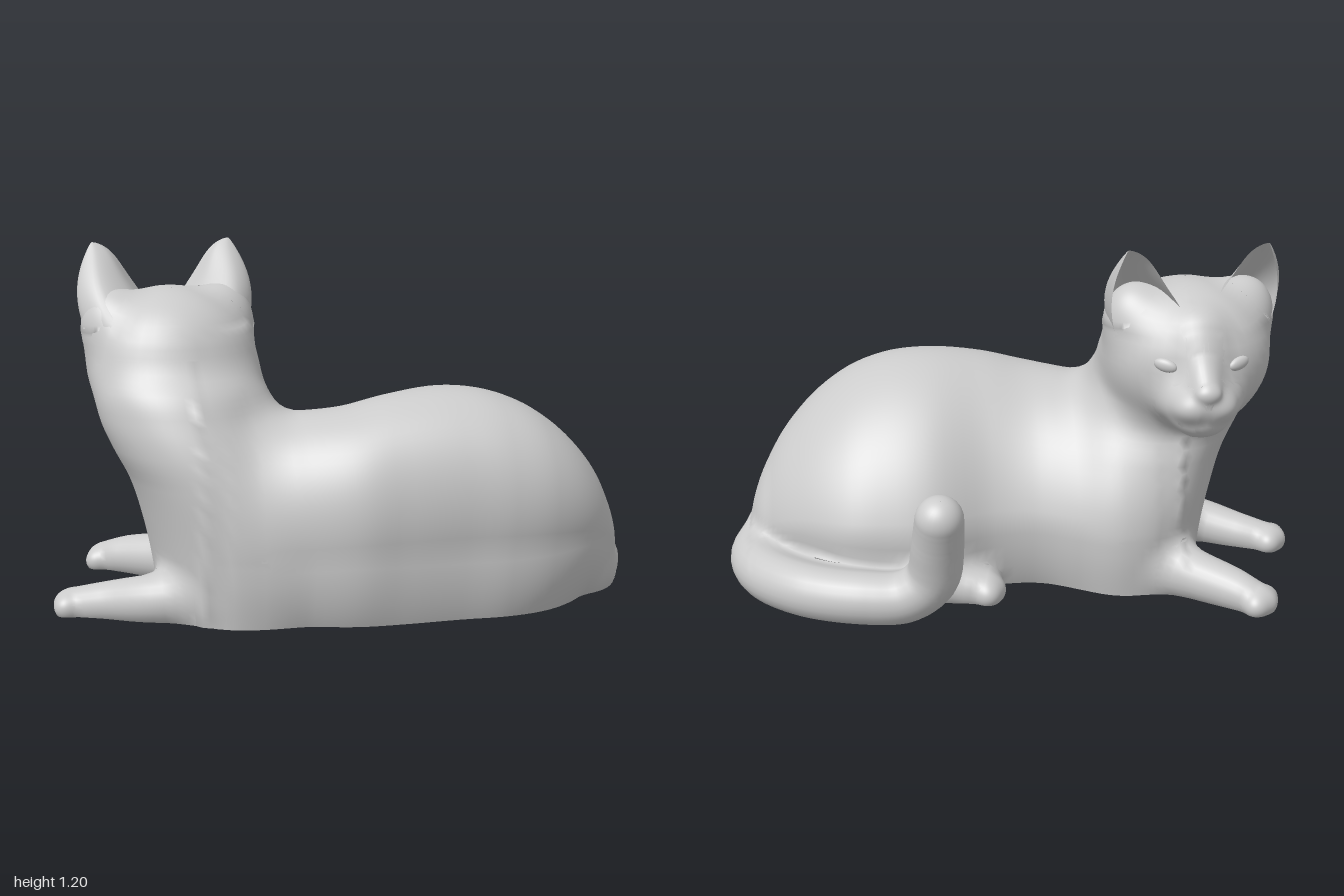
import * as THREE from 'three';

const V = (x, y, z) => new THREE.Vector3(x, y, z);
const { clamp, lerp } = THREE.MathUtils;
const material = new THREE.MeshStandardMaterial({ color: 0xcccccc, side: THREE.DoubleSide });
const HEAD_X = -0.58, WALL = 0.025;

// Smooth lookup through rows of [key, a, b, ...]
function profile(rows) {
  const spline = new THREE.CubicInterpolant(rows.map(r => r[0]), rows.flatMap(r => r.slice(1)), rows[0].length - 1);
  return { lo: rows[0][0], hi: rows[rows.length - 1][0], at: k => spline.evaluate(k) };
}

// Body sections along x: x, z centre, half width, centre height, upper height, lean of the crest
const bodyRows = profile([
  [-0.56, 0.08, 0.04, 0.18, 0.04, 0],
  [-0.53, 0.08, 0.17, 0.20, 0.19, 0],
  [-0.46, 0.075, 0.29, 0.22, 0.34, 0.03],
  [-0.35, 0.08, 0.36, 0.23, 0.42, 0.05],
  [-0.20, 0.12, 0.37, 0.24, 0.42, 0.08],
  [-0.05, 0.165, 0.365, 0.25, 0.43, 0.09],
  [0.10, 0.165, 0.365, 0.25, 0.465, 0.10],
  [0.30, 0.125, 0.405, 0.25, 0.485, 0.13],
  [0.45, 0.13, 0.41, 0.25, 0.465, 0.13],
  [0.60, 0.14, 0.385, 0.25, 0.40, 0.12],
  [0.75, 0.16, 0.30, 0.24, 0.285, 0.08],
  [0.85, 0.165, 0.20, 0.20, 0.19, 0.04],
  [0.92, 0.165, 0.09, 0.15, 0.08, 0],
  [0.935, 0.165, 0.01, 0.15, 0.01, 0],
]);

// Chest and neck sections going up: y, x centre, z centre, x radius, z radius
const neckRows = profile([
  [-0.10, -0.40, 0.07, 0.24, 0.33],
  [0, -0.40, 0.07, 0.25, 0.34],
  [0.15, -0.40, 0.075, 0.265, 0.355],
  [0.30, -0.42, 0.08, 0.275, 0.355],
  [0.45, -0.47, 0.09, 0.27, 0.33],
  [0.55, -0.51, 0.09, 0.28, 0.305],
  [0.65, -0.545, 0.065, 0.285, 0.29],
  [0.75, -0.56, 0.045, 0.28, 0.26],
  [0.82, -0.565, 0.02, 0.25, 0.215],
  [0.88, -0.57, 0, 0.19, 0.15],
  [0.92, -0.57, -0.02, 0.10, 0.08],
  [0.94, -0.57, -0.02, 0.03, 0.03],
]);

const ease = (i, n) => (1 - Math.cos(Math.PI * i / n)) / 2;
const steps = (n, f) => Array.from({ length: n + 1 }, (_, i) => f(ease(i, n)));
const around = (n, f) => Array.from({ length: n }, (_, j) => f(Math.cos(2 * Math.PI * j / n), Math.sin(2 * Math.PI * j / n)));

// Each part is rings of points plus a distance function, so that joints can be filleted
function sections(rows, key, gap, ring, n) {
  return {
    hollow: true,
    rings: steps(n, t => ring(lerp(rows.lo, rows.hi, t))),
    dist(p) {
      const k = p[key], kc = clamp(k, rows.lo, rows.hi), out = Math.abs(k - kc);
      const at = x => gap(rows.at(clamp(x, rows.lo, rows.hi)), p);
      const d = at(kc) / Math.hypot(1, (at(kc + 0.01) - at(kc - 0.01)) / 0.02);
      return out ? Math.hypot(Math.max(d, 0), out) : d;
    },
  };
}

function ellipsoid([x, y, z], [rx, ry, rz]) {
  return {
    hollow: false,
    rings: steps(26, t => {
      const v = 2 * t - 1, r = Math.max(0.01, Math.sqrt(1 - v * v));
      return around(36, (c, s) => V(x + rx * r * c, y + ry * v, z + rz * r * s));
    }),
    dist(p) {
      const a = (p.x - x) / rx, b = (p.y - y) / ry, c = (p.z - z) / rz, k = Math.hypot(a, b, c);
      return k * (k - 1) / (Math.hypot(a / rx, b / ry, c / rz) + 1e-6);
    },
  };
}

// Round-ended limb through points of [x, y, z, radius]
function limb(points, n = 36) {
  const curve = new THREE.CatmullRomCurve3(points.map(p => V(p[0], p[1], p[2])));
  const radius = t => {
    const u = curve.getUtoTmapping(t) * (points.length - 1), k = Math.min(points.length - 2, Math.floor(u));
    return lerp(points[k][3], points[k + 1][3], u - k);
  };
  const length = curve.getLength(), r0 = radius(0), r1 = radius(1);
  const path = Array.from({ length: n + 1 }, (_, i) => ({ c: curve.getPointAt(i / n), r: radius(i / n) }));
  return {
    hollow: true,
    rings: steps(n * 2, s => {
      const a = lerp(-r0, length + r1, s), t = clamp(a / length, 0, 1), off = a - t * length;
      const d = curve.getTangentAt(t), c = curve.getPointAt(t).addScaledVector(d, off);
      const r = Math.sqrt(Math.max(1e-6, radius(t) ** 2 - off * off));
      const side = V(d.z, 0, -d.x).normalize(), up = d.clone().cross(side);
      return around(24, (cs, sn) => c.clone().addScaledVector(side, cs * r).addScaledVector(up, sn * r));
    }),
    dist(p) {
      let best = Infinity;
      for (let i = 0; i < n; i++) {
        const { c: a, r: ra } = path[i], { c: b, r: rb } = path[i + 1];
        const x = b.x - a.x, y = b.y - a.y, z = b.z - a.z, px = p.x - a.x, py = p.y - a.y, pz = p.z - a.z;
        const t = clamp((px * x + py * y + pz * z) / (x * x + y * y + z * z), 0, 1);
        best = Math.min(best, Math.sqrt((px - x * t) ** 2 + (py - y * t) ** 2 + (pz - z * t) ** 2) - lerp(ra, rb, t));
      }
      return best;
    },
  };
}

const bodyLow = (cy, h) => Math.max(h * 1.12, cy * 1.3);
const parts = [];
const part = (name, fillet, shape) => parts.push({ name, fillet, ...shape });

// Trunk
part('body', 0, sections(bodyRows, 'x', ([c, w, cy, h, lean], p) => {
  const v = (p.y - cy) / (p.y > cy ? h : bodyLow(cy, h));
  return (Math.hypot((p.z - c - lean * Math.max(0, v)) / w, v) - 1) * Math.min(w, h);
}, x => {
  const [c, w, cy, h, lean] = bodyRows.at(x);
  return around(72, (cs, sn) => V(x, cy + sn * (sn > 0 ? h : bodyLow(cy, h)), c + w * cs + lean * Math.max(0, sn)));
}, 70));
part('chestAndNeck', 0.1, sections(neckRows, 'y', ([cx, cz, rx, rz], p) =>
  (Math.hypot((p.x - cx) / rx, (p.z - cz) / rz) - 1) * Math.min(rx, rz), y => {
  const [cx, cz, rx, rz] = neckRows.at(y);
  return around(64, (cs, sn) => V(cx + rx * cs, y, cz + rz * sn));
}, 60));

// Head
part('skull', 0.06, ellipsoid([-0.572, 0.83, -0.025], [0.275, 0.222, 0.247]));
part('face', 0.07, ellipsoid([-0.577, 0.805, -0.12], [0.26, 0.235, 0.22]));
part('noseBridge', 0.06, limb([[HEAD_X, 0.92, -0.25, 0.07], [HEAD_X, 0.85, -0.31, 0.05], [HEAD_X, 0.775, -0.4, 0.035]], 12));
part('muzzle', 0.08, ellipsoid([HEAD_X, 0.705, -0.305], [0.125, 0.085, 0.115]));
part('chin', 0.05, ellipsoid([HEAD_X, 0.648, -0.315], [0.075, 0.052, 0.08]));
part('nose', 0.02, ellipsoid([HEAD_X, 0.768, -0.424], [0.034, 0.022, 0.022]));
for (const side of [-1, 1]) {
  const name = side > 0 ? 'left' : 'right';
  part(name + 'WhiskerPad', 0.03, ellipsoid([HEAD_X + side * 0.042, 0.712, -0.375], [0.055, 0.042, 0.056]));
  part(name + 'EarRoot', 0.1, ellipsoid([HEAD_X + side * 0.2, 0.96, -0.07 - side * 0.03], [0.08, 0.09, 0.075]));
}

// Legs with toes fanned across the tip of each paw
const legs = {
  rightFrontLeg: [[-0.38, 0.09, 0.27, 0.11], [-0.68, 0.06, 0.215, 0.085], [-0.82, 0.04, 0.145, 0.07], [-0.93, 0.022, 0.095, 0.06]],
  leftFrontLeg: [[-0.4, 0.09, -0.1, 0.12], [-0.6, 0.06, -0.27, 0.085], [-0.71, 0.045, -0.36, 0.072], [-0.775, 0.028, -0.41, 0.06]],
  leftHindPaw: [[0.38, 0.06, -0.19, 0.09], [0.24, 0.045, -0.22, 0.075], [0.13, 0.03, -0.24, 0.065]],
};
for (const [name, path] of Object.entries(legs)) {
  part(name, 0.06, limb(path, 16));
  const [a, b] = path.slice(-2), d = V(b[0] - a[0], 0, b[2] - a[2]).normalize();
  for (let i = -1; i <= 1; i++) {
    const f = 0.032 - 0.014 * Math.abs(i), s = i * 0.042;
    part(name + 'Toe', 0.025, ellipsoid([b[0] + d.x * f - d.z * s, 0.026, b[2] + d.z * f + d.x * s], [0.038, 0.038, 0.038]));
  }
}

// Tail wraps round the haunch and lifts at the tip; a low fold joins it to the haunch
part('haunchFold', 0.05, limb([
  [0.78, 0.03, 0.2, 0.09], [0.8, 0.03, 0.05, 0.1], [0.74, 0.03, -0.09, 0.1], [0.6, 0.03, -0.21, 0.1], [0.44, 0.03, -0.25, 0.09]], 20));
part('tail', 0.05, limb([
  [0.83, 0.07, 0.24, 0.08], [0.9, 0.068, 0.12, 0.09], [0.908, 0.065, 0.0, 0.092], [0.855, 0.065, -0.14, 0.092],
  [0.72, 0.068, -0.275, 0.092], [0.55, 0.07, -0.35, 0.09], [0.4, 0.08, -0.375, 0.088],
  [0.315, 0.15, -0.39, 0.09], [0.295, 0.29, -0.435, 0.087], [0.29, 0.395, -0.478, 0.08]], 50));

// Smooth union of all parts, and its gradient
function field(p) {
  let d = Infinity;
  for (const { dist, fillet } of parts) {
    const e = dist(p), h = Math.max(0, fillet - Math.abs(d - e));
    d = Math.min(d, e) - (h ? h * h / (4 * fillet) : 0);
  }
  return d;
}
function gradient(p) {
  const e = 0.002, slope = (x, y, z) => (field(V(p.x + x, p.y + y, p.z + z)) - field(V(p.x - x, p.y - y, p.z - z))) / (2 * e);
  return V(slope(e, 0, 0), slope(0, e, 0), slope(0, 0, e));
}
// Moves a point onto the blended surface, never below the ground
function settle(p) {
  for (let i = 0; i < 5; i++) {
    p.y = Math.max(0, p.y);
    const g = gradient(p), f = field(p);
    if (p.y === 0) g.y = 0;
    const l = g.length();
    if (l < 0.05) break;
    p.addScaledVector(g, clamp(-f / l, -0.05, 0.05) / l);
  }
  p.y = Math.max(0, p.y);
  return p;
}

// Skin over the rings, open at the ground, left out where another part covers it; hollow parts get an inner wall and rim
function skin({ rings, dist, hollow }) {
  const n = rings[0].length, pts = rings.flat().map(settle), normals = pts.map(p => gradient(p).normalize());
  const count = pts.length, index = [];
  const hidden = pts.map(p => parts.some(o => o.dist !== dist && o.dist(p) < dist(p) - 0.004));
  const loose = pts.map(p => Math.abs(field(p)) > 0.01);
  const tri = (a, b, c) => {
    const t = [a, b, c], ground = t.filter(i => pts[i].y === 0);
    if (t.every(i => hidden[i]) || t.some(i => loose[i]) || ground.length === 3) return;
    if (t.some((i, k) => pts[i].distanceTo(pts[t[(k + 1) % 3]]) > 0.12)) return;
    const face = pts[b].clone().sub(pts[a]).cross(pts[c].clone().sub(pts[a]));
    const [i, j, k] = face.dot(normals[a]) < 0 ? [a, c, b] : t;
    index.push(i, j, k);
    if (!hollow) return;
    index.push(i + count, k + count, j + count);
    if (ground.length === 2) {
      const [g, h] = ground;
      index.push(g + 2 * count, h + 2 * count, h + 3 * count, g + 2 * count, h + 3 * count, g + 3 * count);
    }
  };
  for (let i = 0; i < rings.length - 1; i++) {
    for (let j = 0; j < n; j++) {
      const a = i * n + j, b = i * n + (j + 1) % n;
      tri(a, b, b + n);
      tri(a, b + n, a + n);
    }
  }
  const inner = pts.map((p, i) => {
    const d = normals[i].clone();
    if (p.y === 0) d.setY(0).normalize();
    const q = p.clone().addScaledVector(d, -WALL);
    return q.setY(Math.max(0, q.y));
  });
  const down = pts.map(() => V(0, -1, 0)), inward = normals.map(v => v.clone().negate());
  const flat = list => new THREE.Float32BufferAttribute(list.flatMap(v => v.toArray()), 3);
  const g = new THREE.BufferGeometry().setIndex(index);
  g.setAttribute('position', flat(hollow ? [...pts, ...inner, ...pts, ...inner] : pts));
  g.setAttribute('normal', flat(hollow ? [...normals, ...inward, ...down, ...down] : normals));
  return g;
}

// Cupped ear: an arc from inner edge round the back to outer edge, drawn up to a rounded tip
function ear(side) {
  const P = (x, y, z) => V(HEAD_X + side * x, y, z - 0.03 * side);
  const arc = new THREE.CatmullRomCurve3([
    P(0.06, 1.0, -0.2), P(0.1, 0.99, -0.05), P(0.19, 0.95, 0.06), P(0.265, 0.9, -0.02), P(0.25, 0.85, -0.13)]);
  const tip = P(0.237, 1.2, -0.2), g = new THREE.PlaneGeometry(1, 1, 24, 20), pos = g.attributes.position;
  for (let i = 0; i < pos.count; i++) {
    const s = Math.sin((pos.getY(i) + 0.5) * Math.PI / 2), b = arc.getPoint(pos.getX(i) + 0.5);
    const w = (1 - s * s) ** 0.65, flare = side * 0.035 * Math.sin(Math.PI * s);
    pos.setXYZ(i, tip.x + (b.x - tip.x) * w + flare, lerp(b.y, tip.y, s), lerp(b.z, tip.z, s ** 1.1));
  }
  g.computeVertexNormals();
  return g;
}

export function createModel() {
  const model = new THREE.Group();
  const add = (name, geometry) => {
    const mesh = new THREE.Mesh(geometry, material);
    mesh.name = name;
    model.add(mesh);
    return mesh;
  };
  for (const p of parts) add(p.name, skin(p));
  for (const side of [-1, 1]) {
    const name = side > 0 ? 'left' : 'right';
    add(name + 'Ear', ear(side));
    // almond eye set on the face
    const eye = add(name + 'Eye', new THREE.SphereGeometry(1, 24, 16).scale(0.04, 0.022, 0.016));
    eye.position.copy(settle(V(HEAD_X + side * 0.13, 0.84, -0.33)));
    eye.rotation.set(0, -side * 0.5, side * 0.2);
  }
  return model;
}
